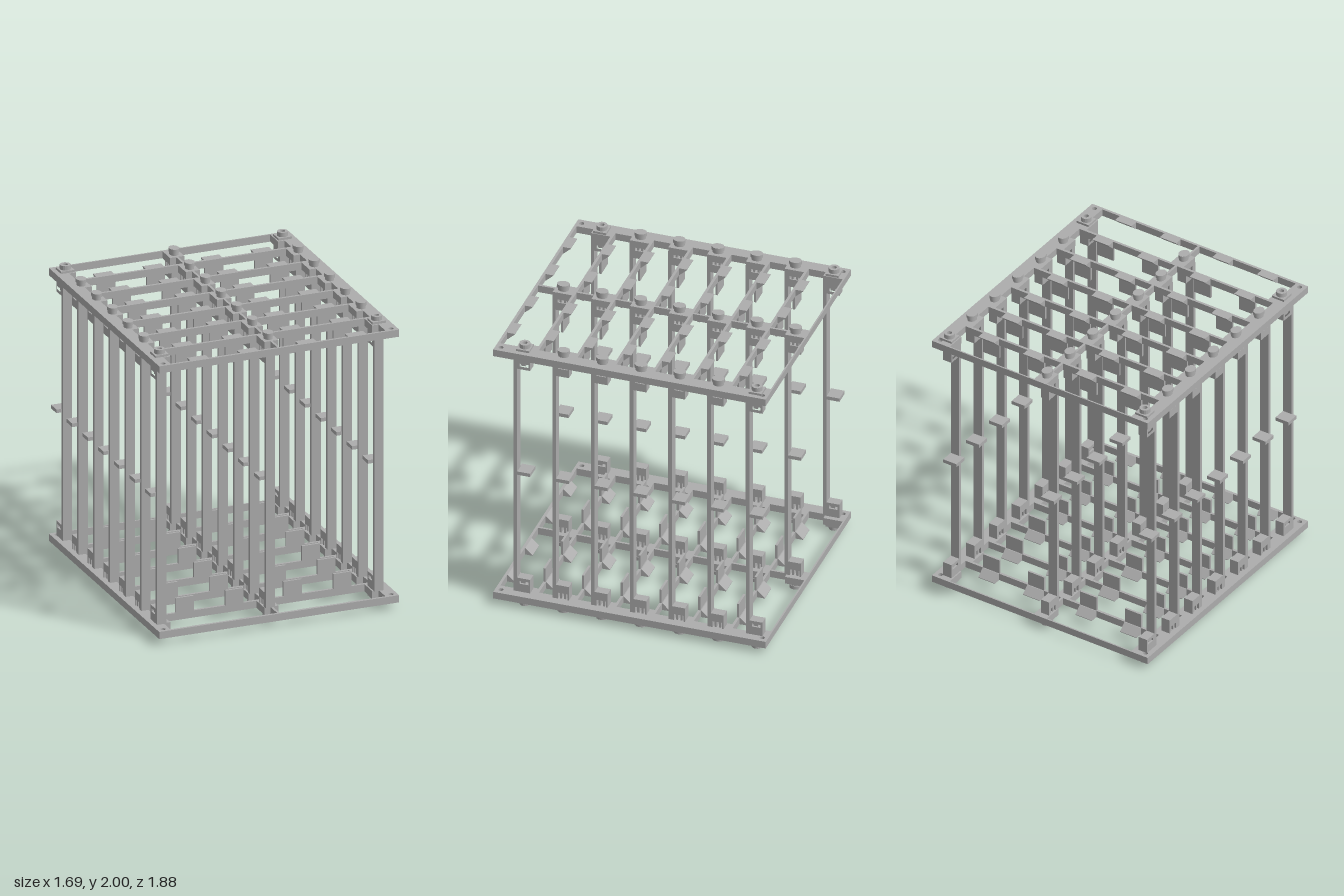
import * as THREE from 'three';

const gray = new THREE.MeshStandardMaterial({ color: 0xacacac });
gray.name = 'plainGray';

const PITCH = 0.2665;
const bars = Array.from({ length: 8 }, (_, k) => 0.929 - PITCH * k); // crossbar centres, front to back
const BAR = 0.009; // half a crossbar
const P0 = 0.045, P1 = 0.095; // plate bottom and top
const pinX = [-0.765, 0, 0.765];
const postX = [-0.7775, -0.0125, 0.7525];
const tabX = [-0.555, -0.205, 0.205, 0.555];

function add(parent, name, geo) {
  const m = new THREE.Mesh(geo, gray);
  m.name = name;
  parent.add(m);
  return m;
}

function box(parent, name, x0, x1, y0, y1, z0, z1) {
  const g = new THREE.BoxGeometry(x1 - x0, Math.abs(y1 - y0), z1 - z0);
  return add(parent, name, g.translate((x0 + x1) / 2, (y0 + y1) / 2, (z0 + z1) / 2));
}

const vecs = (pts) => pts.map((p) => new THREE.Vector2(p[0], p[1]));

// Extrudes a (z, y) outline along x
function alongX(parent, name, pts, x0, x1, holes = []) {
  const s = new THREE.Shape(vecs(pts));
  for (const h of holes) s.holes.push(new THREE.Path(vecs(h)));
  const g = new THREE.ExtrudeGeometry(s, { depth: x1 - x0, bevelEnabled: false });
  return add(parent, name, g.rotateY(-Math.PI / 2).translate(x1, 0, 0));
}

const rect = (a, b, c, d) => [[a, c], [b, c], [b, d], [a, d]];

// Rectangular frame with two columns of openings, notched around the post pads
function plateGeometry() {
  const s = new THREE.Shape(vecs(rect(-0.845, 0.845, -0.938, 0.938)));
  for (const [xl, xr, pl, pr] of [[-0.76, -0.008, -0.712, -0.05], [0.008, 0.755, 0.05, 0.71]]) {
    for (let k = 0; k < 7; k++) {
      const f = bars[k] - BAR, b = bars[k + 1] + BAR, n = b + 0.133;
      const pts = [[pl, b], [pr, b], [pr, n], [xr, n], [xr, f], [xl, f], [xl, n], [pl, n]];
      s.holes.push(new THREE.Path(vecs(pts.map(([x, z]) => [x, -z]))));
    }
  }
  for (const x of [-0.803, 0.803]) {
    for (const z of [-0.9, 0.9]) {
      const h = new THREE.Path();
      h.absarc(x, -z, 0.017, 0, Math.PI * 2, true);
      s.holes.push(h);
    }
  }
  const g = new THREE.ExtrudeGeometry(s, { depth: P1 - P0, bevelEnabled: false, curveSegments: 8 });
  return g.rotateX(-Math.PI / 2);
}

// Hollow round nut, standing on y = 0
function nutGeometry() {
  const pts = vecs([[0.017, 0], [0.036, 0], [0.036, 0.03], [0.017, 0.03], [0.017, 0]]);
  const g = new THREE.LatheGeometry(pts, 16).toNonIndexed();
  g.computeVertexNormals();
  return g;
}

// One end frame; Y maps heights so the upper frame mirrors the lower one
function buildEnd(isTop) {
  const end = new THREE.Group();
  end.name = isTop ? 'upperFrame' : 'lowerFrame';
  const Y = (y) => (isTop ? 2 - y : y);
  const flip = (pts) => pts.map(([z, y]) => [z, Y(y)]);
  add(end, 'framePlate', plateGeometry()).position.y = isTop ? 2 - P1 : P0;

  for (let k = 0; k < 7; k++) {
    const z = bars[k];
    for (const x of tabX) {
      // sloped guide behind each crossbar
      const wedge = [[z - 0.062, P0], [z - BAR, P0], [z - BAR, P1], [z - 0.012, P1], [z - 0.062, P0 + 0.004]];
      alongX(end, 'slopedGuide', flip(wedge), x - 0.064, x + 0.064);
      // upright tab on the inner crossbars
      if (k > 0) box(end, 'guideTab', x - 0.064, x + 0.064, Y(P1), Y(0.198), z - 0.006, z + 0.009);
    }

    const pz = bars[k + 1] + 0.085;
    const corner = k === 0 || k === 6;
    for (let i = 0; i < 3; i++) {
      const x0 = postX[i] - 0.0325, x1 = postX[i] + 0.0325;
      const a = pz - 0.043, b = pz + 0.048;
      // foot behind each post
      if (corner && i !== 1) {
        const slot = rect(pz - 0.03, pz + 0.03, 0.155, 0.177);
        alongX(end, 'slottedFoot', flip(rect(a, b, P1, 0.198)), x0, x1, [flip(slot)]);
        box(end, 'lockTongue', x0 + 0.01, x1 - 0.01, Y(0.157), Y(0.175), pz - 0.008, pz + 0.022);
      } else {
        const arch = [[a, P1], [pz - 0.033, P1], [pz - 0.033, 0.14], [pz + 0.033, 0.14],
          [pz + 0.033, P1], [b, P1], [b, 0.198], [a, 0.198]];
        alongX(end, 'archedFoot', flip(arch), x0, x1);
        for (const s of [-1, 1]) {
          box(end, 'clipProng', x0 + 0.008, x1 - 0.008, Y(P1), Y(0.142), pz + s * 0.015 - 0.007, pz + s * 0.015 + 0.007);
        }
      }
      // fastener on the outer face
      const x = pinX[i];
      if (corner && i !== 1) {
        box(end, 'squareWasher', x - 0.047, x + 0.047, Y(0.03), Y(P0), pz - 0.045, pz + 0.045);
        const nut = add(end, 'roundNut', nutGeometry());
        nut.position.set(x, isTop ? 1.97 : 0, pz);
      } else {
        const neck = new THREE.CylinderGeometry(0.029, 0.029, 0.03, 16).scale(1, 1, 1.25);
        add(end, 'pinNeck', neck).position.set(x, Y(0.035), pz);
        const head = new THREE.CylinderGeometry(0.034, 0.034, 0.025, 16).scale(1, 1, 1.25);
        add(end, 'pinHead', head).position.set(x, Y(0.0125), pz);
      }
    }
  }
  return end;
}

export function createModel() {
  const model = new THREE.Group();
  model.name = 'slottedRack';
  model.add(buildEnd(false), buildEnd(true));

  // rows of posts, each with a small paddle at mid height
  for (let k = 0; k < 7; k++) {
    const pz = bars[k + 1] + 0.085;
    for (const x of postX) {
      box(model, 'post', x - 0.0325, x + 0.0325, P1, 2 - P1, pz + 0.046, pz + 0.07);
      box(model, 'paddle', x - 0.07, x + 0.0325, 0.988, 1.013, pz - 0.043, pz + 0.05);
    }
  }
  return model;
}
